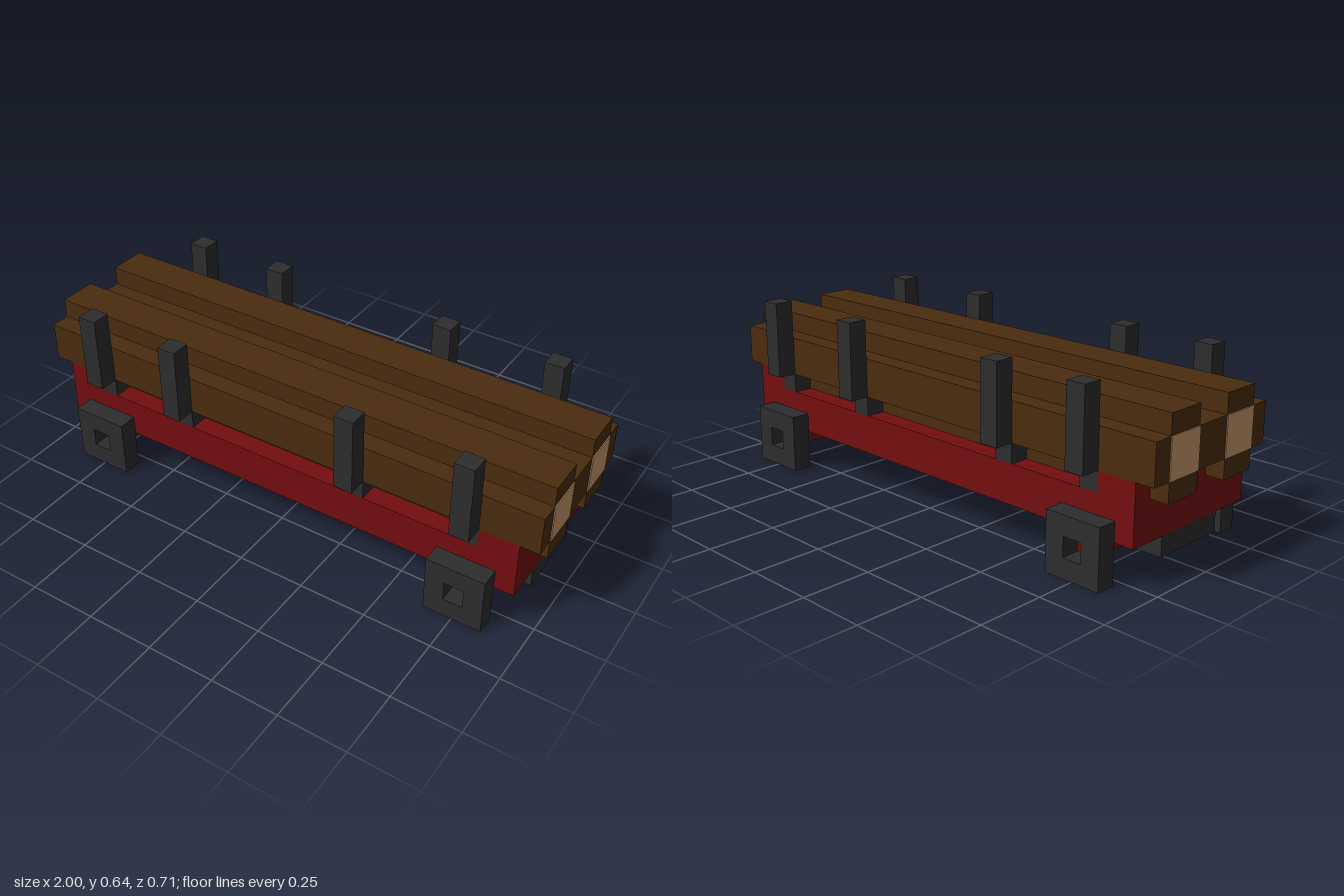
import * as THREE from 'three';

const U = 1 / 14; // modelling grid step

const paint = (name, color) => {
  const m = new THREE.MeshStandardMaterial({ color });
  m.name = name;
  return m;
};

export function createModel() {
  const bark = paint('bark brown', 0x4a2c0f);
  const wood = paint('cut wood', 0xc9996c);
  const red = paint('wagon red', 0x740e10);
  const iron = paint('dark iron', 0x2d2d2d);

  const model = new THREE.Group();
  model.name = 'logWagon';

  const add = (name, geometry, material) => {
    const mesh = new THREE.Mesh(geometry, material);
    mesh.name = name;
    model.add(mesh);
    return mesh;
  };
  // Box from its lower and upper limits, in grid steps
  const box = (name, material, [x0, x1], [y0, y1], [z0, z1]) => {
    const g = new THREE.BoxGeometry((x1 - x0) * U, (y1 - y0) * U, (z1 - z0) * U);
    return add(name, g, material).position.set((x0 + x1) / 2 * U, (y0 + y1) / 2 * U, (z0 + z1) / 2 * U);
  };
  const polygon = (points, Type = THREE.Shape) =>
    new Type(points.map(([x, y]) => new THREE.Vector2(x * U, y * U)));
  const square = (r, Type) => polygon([[-r, -r], [r, -r], [r, r], [-r, r]], Type);

  // Chassis: bed, raised ends and underframe beam
  box('bed', red, [-11, 11], [2, 4], [-4, 4]);
  box('rightEnd', red, [-13, -11], [2, 5], [-4, 4]);
  box('leftEnd', red, [11, 13], [2, 5], [-4, 4]);
  box('underframe', iron, [-13, 13], [1, 2], [-2, 2]);

  // Square wheels with an open hub, on stub axles
  const wheelShape = square(1.5);
  wheelShape.holes.push(square(0.5, THREE.Path));
  const wheelGeometry = new THREE.ExtrudeGeometry(wheelShape, { depth: U, bevelEnabled: false });
  for (const x of [-10.5, 10.5]) {
    for (const side of [-1, 1]) {
      const z = side > 0 ? 4 : -5;
      add('wheel', wheelGeometry, iron).position.set(x * U, 1.5 * U, z * U);
      box('axle', red, [x - 0.5, x + 0.5], [1, 2], side > 0 ? [2, 4] : [-4, -2]);
    }
  }

  // Stakes with brackets on both sides of the bed
  for (const x of [-11, -6, 4, 10]) {
    for (const side of [-1, 1]) {
      box('stake', iron, [x, x + 1], [5, 9], side > 0 ? [4, 5] : [-5, -4]);
      box('stakeBracket', iron, [x, x + 1], [4, 5], side > 0 ? [3, 4] : [-4, -3]);
    }
  }

  // Logs with a stepped round section and pale cut ends
  const cap = 0.05;
  const logShape = polygon([
    [-1, -2], [1, -2], [1, -1], [2, -1], [2, 1], [1, 1],
    [1, 2], [-1, 2], [-1, 1], [-2, 1], [-2, -1], [-1, -1],
  ]);
  const length = (28 - 2 * cap) * U;
  const logGeometry = new THREE.ExtrudeGeometry(logShape, { depth: length, bevelEnabled: false });
  logGeometry.translate(0, 0, -length / 2).rotateY(Math.PI / 2);
  for (const z of [-2, 2]) {
    add('log', logGeometry, bark).position.set(0, 6 * U, z * U);
    box('cutEnd', wood, [14 - cap, 14], [5, 7], [z - 1, z + 1]);
    box('cutEnd', wood, [-14, cap - 14], [5, 7], [z - 1, z + 1]);
  }

  return model;
}
